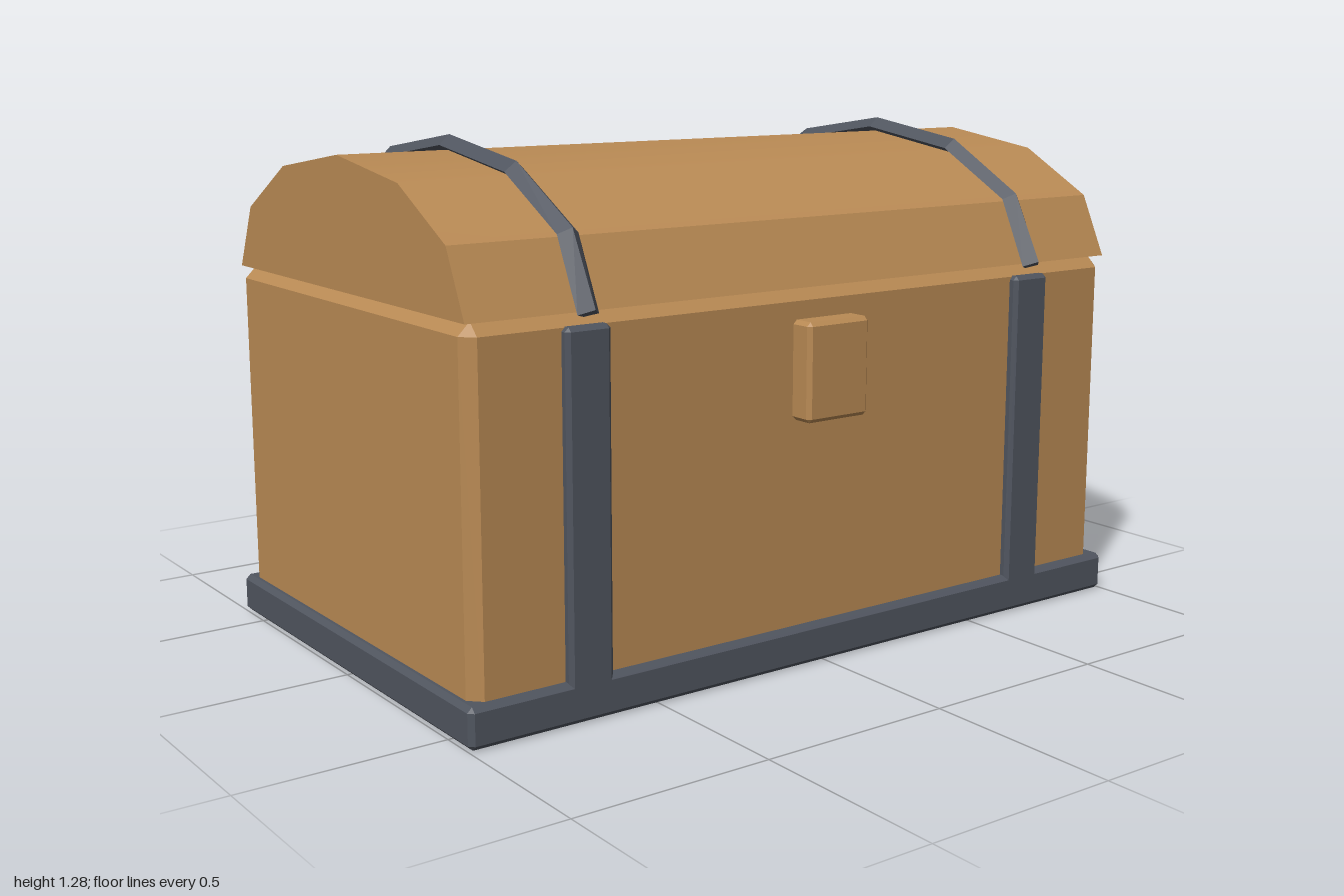
import * as THREE from 'three';
import { toCreasedNormals } from 'three/addons/utils/BufferGeometryUtils.js';
import { ConvexGeometry } from 'three/addons/geometries/ConvexGeometry.js';

const wood = new THREE.MeshStandardMaterial({ color: 0xb98a54 });
wood.name = 'wood';
const iron = new THREE.MeshStandardMaterial({ color: 0x50555f });
iron.name = 'iron';

const SIGNS = [-1, 1];

function part(name, geometry, material, x = 0, y = 0, z = 0) {
  const mesh = new THREE.Mesh(geometry, material);
  mesh.name = name;
  mesh.position.set(x, y, z);
  return mesh;
}

// Box with flat chamfers on every edge, centred on the origin
function chamferedBox(w, h, d, b) {
  const points = [];
  const [x, y, z] = [w / 2, h / 2, d / 2];
  for (const sx of SIGNS) for (const sy of SIGNS) for (const sz of SIGNS) {
    points.push(
      new THREE.Vector3(sx * x, sy * (y - b), sz * (z - b)),
      new THREE.Vector3(sx * (x - b), sy * y, sz * (z - b)),
      new THREE.Vector3(sx * (x - b), sy * (y - b), sz * z));
  }
  return new ConvexGeometry(points);
}

// Chest body: chamfered upright corners and top rim, sharp at the bottom
function bodyGeometry(x, z, h, b) {
  const points = [];
  for (const sx of SIGNS) for (const sz of SIGNS) {
    for (const y of [0, h - b]) {
      points.push(
        new THREE.Vector3(sx * x, y, sz * (z - b)),
        new THREE.Vector3(sx * (x - b), y, sz * z));
    }
    points.push(new THREE.Vector3(sx * (x - b), h, sz * (z - b)));
  }
  return new ConvexGeometry(points);
}

// Mirrors half an arch (edge to crown) into a full one
function fullArch(half) {
  return [...half, ...half.slice(0, -1).reverse().map(([z, y]) => [-z, y])];
}

// Barrel lid: faceted outline with a softly shaded crown
function lidGeometry(width) {
  const outline = fullArch([[0.583, 0.93], [0.51, 1.087], [0.3, 1.203], [0, 1.247]]);
  const shape = new THREE.Shape(outline.map(([z, y]) => new THREE.Vector2(z, y)));
  const geometry = new THREE.ExtrudeGeometry(shape, { depth: width, bevelEnabled: false });
  geometry.translate(0, 0, -width / 2).rotateY(Math.PI / 2);
  return toCreasedNormals(geometry, 0.5);
}

// Ridged iron band swept over the lid with a diamond cross-section
function lidBandGeometry(halfWidth) {
  const outer = fullArch([[0.629, 0.939], [0.541, 1.109], [0.309, 1.239], [0, 1.284]]);
  const inner = fullArch([[0.582, 0.918], [0.508, 1.085], [0.297, 1.2], [0, 1.244]]);
  const section = [[0, 1], [halfWidth, 0.38], [0, 0], [-halfWidth, 0.38]];
  const positions = [];
  const index = [];
  outer.forEach(([oz, oy], i) => {
    const [iz, iy] = inner[i];
    for (const [x, t] of section) {
      positions.push(x, iy + (oy - iy) * t, iz + (oz - iz) * t);
    }
  });
  const last = outer.length - 1;
  for (let i = 0; i < last; i++) {
    for (let j = 0; j < 4; j++) {
      const a = i * 4 + j;
      const b = i * 4 + (j + 1) % 4;
      index.push(a, b, b + 4, a, b + 4, a + 4);
    }
  }
  const e = last * 4;
  index.push(0, 2, 1, 0, 3, 2, e, e + 1, e + 2, e, e + 2, e + 3);
  const geometry = new THREE.BufferGeometry();
  geometry.setAttribute('position', new THREE.Float32BufferAttribute(positions, 3));
  geometry.setIndex(index);
  const flat = geometry.toNonIndexed();
  flat.computeVertexNormals();
  return flat;
}

export function createModel() {
  const chest = new THREE.Group();
  chest.name = 'treasureChest';
  const cz = -0.007;

  chest.add(part('body', bodyGeometry(0.98, 0.585, 0.93, 0.03), wood, 0, 0, cz));
  chest.add(part('lid', lidGeometry(1.956), wood, 0, 0, cz));
  // Base sits a hair above the body's underside
  chest.add(part('baseFrame', chamferedBox(2, 0.099, 1.216, 0.012), iron, 0, 0.0505, cz));

  // Iron bands: upright straps front and back, ridged bands over the lid
  const strap = chamferedBox(0.118, 0.85, 0.05, 0.01);
  const band = lidBandGeometry(0.028);
  for (const side of SIGNS) {
    const name = side > 0 ? 'left' : 'right';
    chest.add(part(name + 'FrontStrap', strap, iron, side * 0.684, 0.477, cz + 0.583));
    chest.add(part(name + 'BackStrap', strap, iron, side * 0.684, 0.477, cz - 0.583));
    chest.add(part(name + 'LidBand', band, iron, side * 0.683, 0, cz));
  }

  // Latch block on the front
  chest.add(part('latch', chamferedBox(0.188, 0.242, 0.08, 0.01), wood, -0.003, 0.735, 0.598));
  return chest;
}
